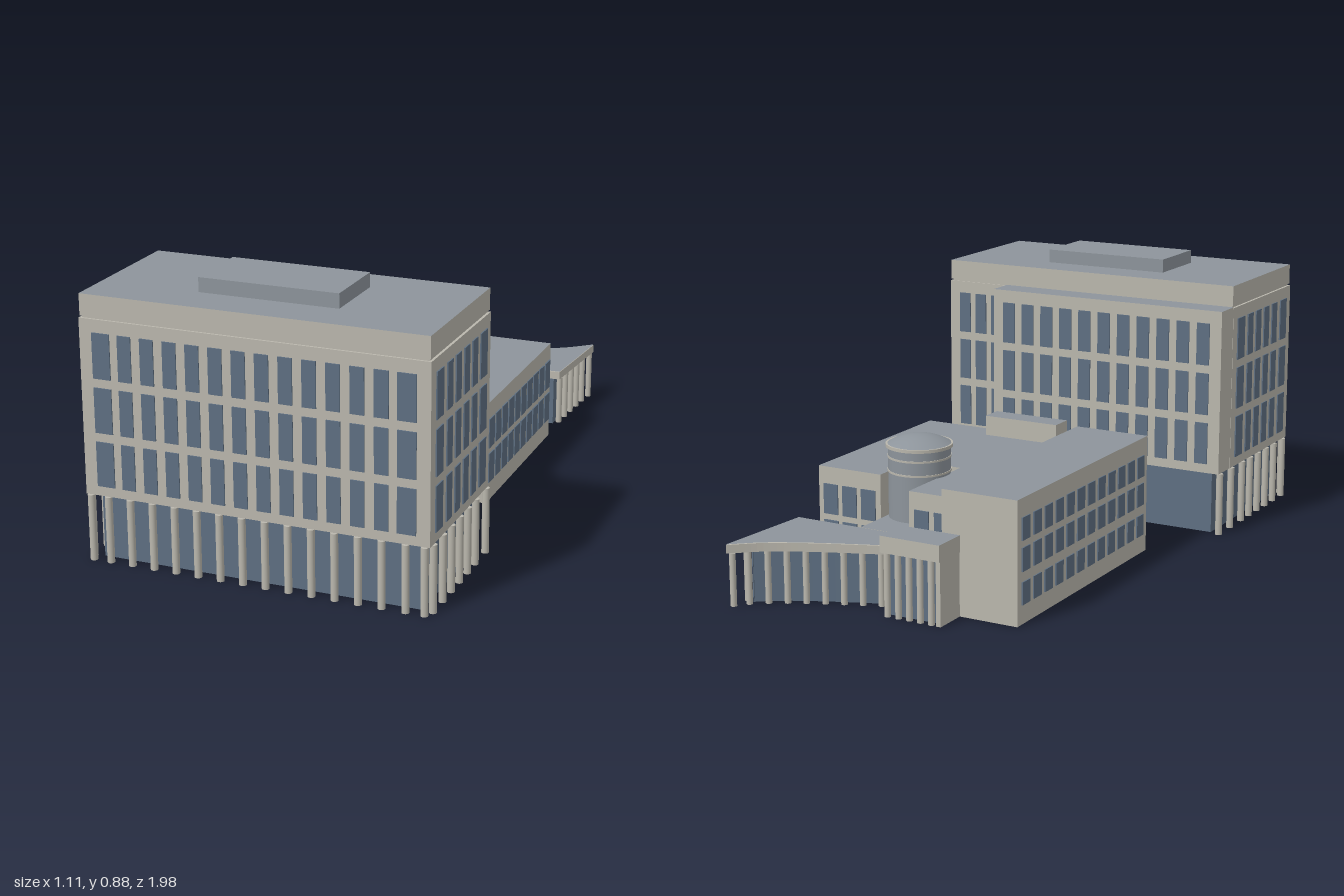
import * as THREE from 'three';

const mat = (name, color, side = THREE.FrontSide) => {
  const m = new THREE.MeshStandardMaterial({ color, side });
  m.name = name;
  return m;
};

export function createModel() {
  const root = new THREE.Group();
  const concrete = mat('concrete', 0xbab7ad);
  const glass = mat('glass', 0x5e6f82, THREE.DoubleSide);
  const roof = mat('roof grey', 0x8d949b);
  const soffit = mat('soffit', 0x6a645e);

  const add = (name, geo, m, parent = root) => {
    const mesh = new THREE.Mesh(geo, m);
    mesh.name = name;
    parent.add(mesh);
    return mesh;
  };

  // Box given by its extents; concrete walls with a grey roof by default
  const block = (name, x0, x1, y0, y1, z0, z1, side = concrete, top = roof, under = side) =>
    add(name, new THREE.BoxGeometry(x1 - x0, y1 - y0, z1 - z0), [side, side, top, under, side, side])
      .position.set((x0 + x1) / 2, (y0 + y1) / 2, (z0 + z1) / 2);

  // Grid of thin panes on a wall: axis and sign of the wall normal, columns [centre, width], rows [bottom, top]
  const windows = (name, axis, sign, at, cols, rows) => {
    const g = new THREE.Group();
    g.name = name;
    root.add(g);
    for (const [c, w] of cols) for (const [b, t] of rows) {
      const x = axis === 'x';
      const pane = add('pane', new THREE.BoxGeometry(x ? 0.006 : w, t - b, x ? w : 0.006), glass, g);
      const p = at + sign * 0.001;
      pane.position.set(x ? p : c, (b + t) / 2, x ? c : p);
    }
  };
  const even = (a, b, n, fill) =>
    Array.from({ length: n }, (_, i) => [a + (b - a) * (i + 0.5) / n, Math.abs(b - a) / n * fill]);

  // Upright glass walls along a closed outline of [x, z] points
  const glassWalls = (name, pts, height) => {
    const g = new THREE.Group();
    g.name = name;
    root.add(g);
    pts.forEach(([x, z], i) => {
      const [u, v] = pts[(i + 1) % pts.length];
      const wall = add('glassWall', new THREE.PlaneGeometry(Math.hypot(u - x, v - z), height), glass, g);
      wall.position.set((x + u) / 2, height / 2, (z + v) / 2);
      wall.rotation.y = -Math.atan2(v - z, u - x);
    });
  };

  const columns = (name, pts, height, r) => {
    const g = new THREE.Group();
    g.name = name;
    root.add(g);
    const geo = new THREE.CylinderGeometry(r, r, height, 16);
    for (const [x, z] of pts) add('column', geo, concrete, g).position.set(x, height / 2, z);
  };

  // Tower with rear annex, cornice band and rooftop plant room
  block('towerBody', -0.544, 0.544, 0.21, 0.757, 0.49, 0.985, concrete, concrete, soffit);
  block('towerSeam', -0.536, 0.536, 0.757, 0.763, 0.494, 0.978);
  block('towerCornice', -0.541, 0.541, 0.763, 0.83, 0.49, 0.983);
  block('plantRoom', -0.225, 0.215, 0.83, 0.875, 0.615, 0.845, roof);
  block('towerAnnex', -0.543, 0.315, 0.21, 0.76, 0.397, 0.49, concrete, roof, soffit);

  const towerRows = [0.241, 0.409, 0.577].map(y => [y, y + 0.14]);
  const frontCols = [[-0.474, 0.057], [0.474, 0.057]];
  for (let i = -5.5; i <= 5.5; i++) frontCols.push([i * 0.0724, 0.043]);
  windows('towerFrontWindows', 'z', 1, 0.985, frontCols, towerRows);
  const sideCols = [[0.92, 0.054], [0.84, 0.043], [0.77, 0.043], [0.7, 0.043], [0.631, 0.043], [0.553, 0.057]];
  for (const s of [-1, 1]) windows('towerSideWindows', 'x', s, s * 0.544, sideCols, towerRows);
  windows('towerBackWindows', 'z', -1, 0.49, even(0.325, 0.515, 3, 0.66), towerRows);
  windows('annexBackWindows', 'z', -1, 0.397, even(-0.515, 0.29, 11, 0.62), towerRows);

  // Recessed glass ground floor with a colonnade
  glassWalls('groundFloor', [[-0.51, 0.95], [0.51, 0.95], [0.51, 0.51], [0.285, 0.51], [0.285, 0.42], [-0.51, 0.42]], 0.21);
  const colonnade = [[-0.543, 0.41]];
  for (let i = -6.5; i <= 6.5; i++) colonnade.push([i * 0.0724, 0.984]);
  for (const s of [-1, 1]) {
    colonnade.push([s * 0.528, 0.984]);
    for (const z of [0.955, 0.877, 0.805, 0.735, 0.665, 0.596, 0.503]) colonnade.push([s * 0.543, z]);
  }
  columns('towerColumns', colonnade, 0.21, 0.0115);

  // Link building
  block('linkBuilding', -0.19, 0.2, 0, 0.22, 0.14, 0.387);
  for (const s of [-1, 1])
    windows('linkWindows', 'x', s, s < 0 ? -0.19 : 0.2, [[0.34, 0.058], [0.262, 0.056], [0.188, 0.06]], [[0.065, 0.162]]);

  // Hall and its rear wings
  const hallRows = [[0.064, 0.162], [0.182, 0.28]];
  block('hall', -0.143, 0.42, 0, 0.335, -0.34, 0.14);
  block('hallEastWing', 0.19, 0.42, 0, 0.335, -0.53, -0.34);
  block('hallWestWing', -0.143, 0.015, 0, 0.335, -0.643, -0.34);
  block('lowMiddleWing', 0.015, 0.19, 0, 0.195, -0.643, -0.34);
  block('hallRoofBox', -0.11, 0.155, 0.335, 0.4, 0.063, 0.138);
  windows('hallSideWindows', 'x', 1, 0.42, even(0.13, -0.525, 10, 0.78), hallRows);
  windows('eastWingWindows', 'z', -1, -0.53, even(0.2, 0.41, 3, 0.75), hallRows);
  windows('westWingBackWindows', 'z', -1, -0.643, even(-0.135, 0.005, 2, 0.72), hallRows);
  windows('westWingSideWindows', 'x', 1, 0.015, [[-0.592, 0.06]], [[0.198, 0.28]]);

  // Long west block
  const longRows = [[0.06, 0.13], [0.162, 0.235], [0.257, 0.327]];
  block('longBlock', -0.405, -0.15, 0, 0.385, -0.725, 0.135);
  windows('longBlockWestWindows', 'x', -1, -0.405, even(-0.71, 0.12, 12, 0.68), longRows);
  windows('longBlockEastWindows', 'x', 1, -0.15, [[-0.68, 0.054]], longRows);

  // Rotunda with ring mouldings and a shallow dome
  const rotunda = new THREE.Group();
  rotunda.name = 'rotunda';
  rotunda.position.set(0.102, 0, -0.44);
  root.add(rotunda);
  add('rotundaWall', new THREE.CylinderGeometry(0.098, 0.098, 0.23, 40), roof, rotunda).position.y = 0.31;
  for (const [y, r, h] of [[0.345, 0.1, 0.006], [0.39, 0.1, 0.006], [0.425, 0.105, 0.01]])
    add('rotundaRing', new THREE.CylinderGeometry(r, r, h, 40), concrete, rotunda).position.y = y;
  const dome = [];
  for (let i = 0; i <= 8; i++) {
    const r = 0.099 * (1 - i / 8);
    dome.push(new THREE.Vector2(r, 0.43 + 0.027 * (1 - (r / 0.099) ** 2)));
  }
  add('rotundaDome', new THREE.LatheGeometry(dome, 40), roof, rotunda);

  // Swept canopy: slab, inset glass and columns along its curved edge
  const sweep = new THREE.CatmullRomCurve3(
    [[-0.01, -0.75], [0.12, -0.8], [0.25, -0.856], [0.36, -0.915], [0.445, -0.987]].map(([x, z]) => new THREE.Vector3(x, 0, z)));
  const edge = sweep.getPoints(24);
  const slab = new THREE.Shape([[0.42, -0.645], [-0.01, -0.645]].map(([x, z]) => new THREE.Vector2(x, -z))
    .concat(edge.map(p => new THREE.Vector2(p.x, -p.z))));
  const slabGeo = new THREE.ExtrudeGeometry(slab, { depth: 0.027, bevelEnabled: false }).rotateX(-Math.PI / 2);
  add('canopySlab', slabGeo, concrete).position.y = 0.166;
  add('canopyRoof', new THREE.ShapeGeometry(slab).rotateX(-Math.PI / 2), roof).position.y = 0.195;
  const inner = sweep.getPoints(8).slice(0, 8).map(p => [Math.max(p.x, 0.005), p.z + 0.035]);
  glassWalls('canopyGlass', [[0.4, -0.645], [0.005, -0.645], ...inner, [0.4, -0.915]], 0.166);
  const canopyCols = sweep.getSpacedPoints(9).map(p => [Math.min(Math.max(p.x, 0.002), 0.433), p.z + 0.014]);
  for (let i = 0; i < 5; i++) canopyCols.push([0.414 + i * 0.003, -0.67 - i * 0.06]);
  columns('canopyColumns', canopyCols, 0.166, 0.01);

  // Small rear portico
  block('porticoCore', -0.2, -0.02, 0, 0.2, -0.81, -0.725, glass);
  block('porticoSideWall', -0.21, -0.195, 0, 0.2, -0.835, -0.725);
  block('porticoCornice', -0.212, -0.008, 0.2, 0.252, -0.843, -0.725);
  columns('porticoColumns', [0, 1, 2, 3, 4].map(i => [-0.175 + i * 0.038, -0.828]), 0.2, 0.01);

  return root;
}
